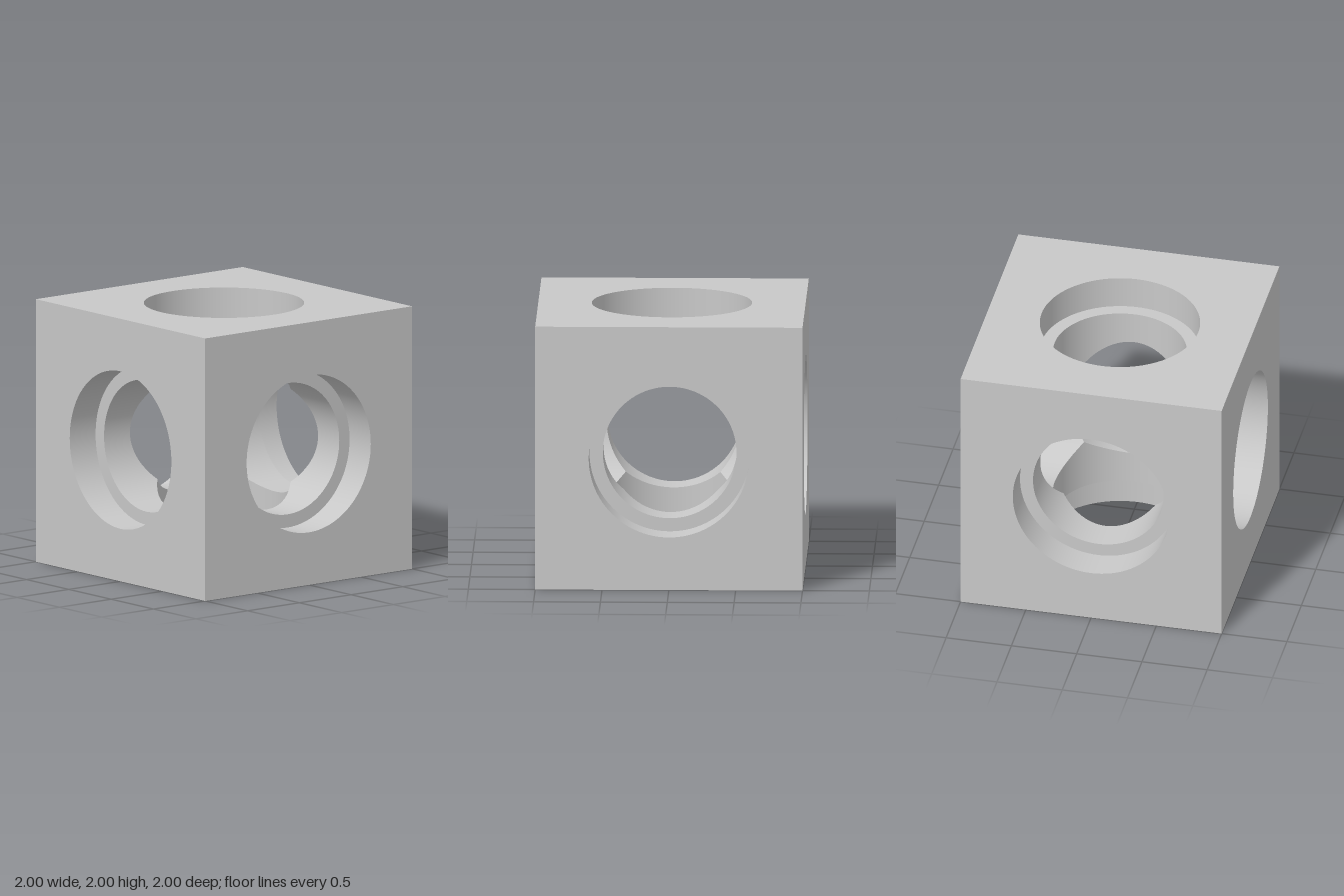
import * as THREE from 'three';

const HALF = 1;        // half the cube's side
const BORE = 0.5;      // radius of the through bores
const RECESS = 0.6;    // radius of the wider recess at each mouth
const LEDGE = 0.75;    // distance of the ledge from the cube's centre
const SEGMENTS = 96;   // multiple of 8, so the bore corners fall on vertices

const turned = (...profile) =>
  new THREE.LatheGeometry(profile.map(([r, y]) => new THREE.Vector2(r, y)), SEGMENTS);

// Square outer face with a round opening, facing +y
function facePlate() {
  const shape = new THREE.Shape([
    new THREE.Vector2(-HALF, -HALF), new THREE.Vector2(HALF, -HALF),
    new THREE.Vector2(HALF, HALF), new THREE.Vector2(-HALF, HALF),
  ]);
  shape.holes.push(new THREE.Path().absarc(0, 0, RECESS, 0, Math.PI * 2, true));
  return new THREE.ShapeGeometry(shape, SEGMENTS / 2).rotateX(-Math.PI / 2).translate(0, HALF, 0);
}

// Bore wall, trimmed where it meets the two crossing bores of equal radius
function boreWall() {
  const geometry = turned([BORE, LEDGE], [BORE, 0]);
  const p = geometry.attributes.position;
  for (let i = 0; i < p.count; i++) {
    if (p.getY(i) < 0.01) p.setY(i, Math.max(Math.abs(p.getX(i)), Math.abs(p.getZ(i))));
  }
  return geometry;
}

export function createModel() {
  const grey = new THREE.MeshStandardMaterial({ color: 0xc8c8c8 });
  grey.name = 'grey';

  const parts = {
    facePlate: facePlate(),
    recessWall: turned([RECESS, HALF], [RECESS, LEDGE]),
    recessLedge: turned([RECESS, LEDGE], [BORE, LEDGE]),
    boreWall: boreWall(),
  };

  // The same side, turned to all six directions
  const q = Math.PI / 2;
  const sides = {
    topSide: [0, 0], bottomSide: [2 * q, 0],
    frontSide: [q, 0], backSide: [-q, 0],
    leftSide: [0, -q], rightSide: [0, q],
  };

  const model = new THREE.Group();
  model.name = 'boredCube';
  for (const [name, [rx, rz]] of Object.entries(sides)) {
    const side = new THREE.Group();
    side.name = name;
    for (const [part, geometry] of Object.entries(parts)) {
      const mesh = new THREE.Mesh(geometry, grey);
      mesh.name = part;
      side.add(mesh);
    }
    side.rotation.set(rx, 0, rz);
    side.position.y = HALF;
    model.add(side);
  }
  return model;
}
